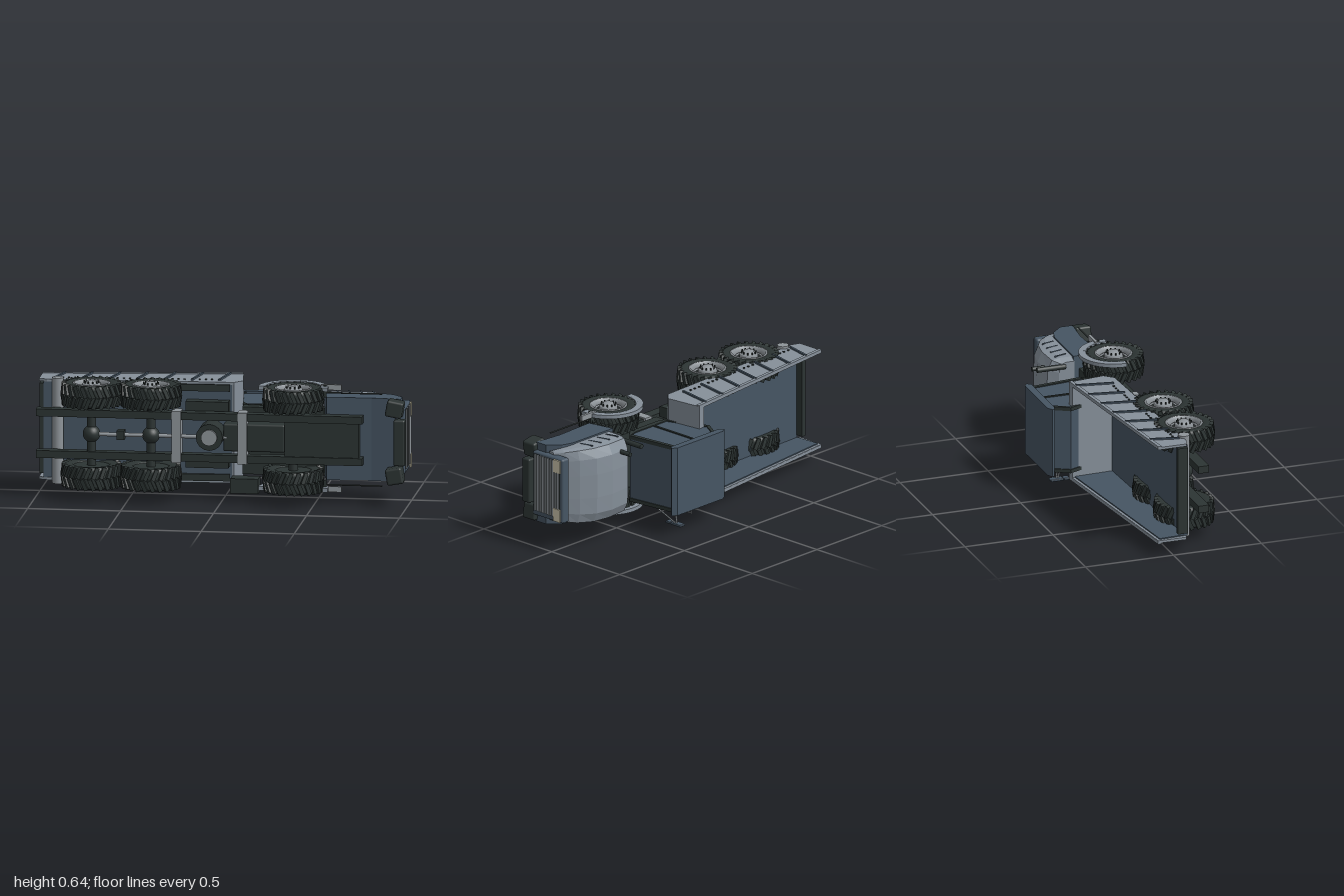
import * as THREE from 'three';
import { mergeGeometries } from 'three/addons/utils/BufferGeometryUtils.js';
import { RoundedBoxGeometry } from 'three/addons/geometries/RoundedBoxGeometry.js';

const mat = (name, color, extra = {}) => {
  const m = new THREE.MeshStandardMaterial({ color, ...extra });
  m.name = name;
  return m;
};

export function createModel() {
  const grey = mat('bodyGrey', 0x86909a, { flatShading: true, side: THREE.DoubleSide });
  const slate = mat('slateBlue', 0x465563);
  const black = mat('blackRubber', 0x2c3433);
  const metal = mat('lightMetal', 0x8f959a);
  const cream = mat('headlightCream', 0xcfc9b0);

  // The truck is built upright (x forward, y up, z sideways), then laid on its side.
  const truck = new THREE.Group();
  truck.name = 'dumpTruck';
  const add = (name, geo, material, parent = truck) => {
    const m = new THREE.Mesh(geo, material);
    m.name = name;
    parent.add(m);
    return m;
  };
  // Box from its limits
  const box = (name, material, x0, x1, y0, y1, z0, z1, round = 0) => {
    const g = round
      ? new RoundedBoxGeometry(x1 - x0, y1 - y0, z1 - z0, 2, round)
      : new THREE.BoxGeometry(x1 - x0, y1 - y0, z1 - z0);
    return add(name, g.translate((x0 + x1) / 2, (y0 + y1) / 2, (z0 + z1) / 2), material);
  };
  // Side outline extruded between two z limits
  const slab = (name, material, pts, z0, z1) => {
    const s = new THREE.Shape(pts.map(p => new THREE.Vector2(...p)));
    return add(name, new THREE.ExtrudeGeometry(s, { depth: z1 - z0, bevelEnabled: false, curveSegments: 12 }).translate(0, 0, z0), material);
  };
  // Round bar between two points
  const bar = (name, material, a, b, r) => {
    const p = new THREE.Vector3(...a), q = new THREE.Vector3(...b), d = q.clone().sub(p);
    const m = add(name, new THREE.CylinderGeometry(r, r, d.length(), 16), material);
    m.position.copy(p).add(q).multiplyScalar(0.5);
    m.quaternion.setFromUnitVectors(new THREE.Vector3(0, 1, 0), d.normalize());
    return m;
  };
  const lathe = pts => new THREE.LatheGeometry(pts.map(p => new THREE.Vector2(...p)), 32).rotateX(Math.PI / 2);

  // Wheels with staggered slanted lugs
  const tyreGeo = lathe([[0.095, -0.05], [0.1, -0.056], [0.135, -0.06], [0.148, -0.054], [0.151, -0.04],
    [0.151, 0.04], [0.148, 0.054], [0.135, 0.06], [0.1, 0.056], [0.095, 0.045]]);
  const lugs = [];
  const lugCount = 24;
  for (let i = 0; i < lugCount; i++) for (const s of [-1, 1]) {
    const g = new THREE.BoxGeometry(0.021, 0.022, 0.064);
    g.rotateX(s * 0.1).rotateY(s * 0.4).translate(0, 0.151, s * 0.03);
    lugs.push(g.rotateZ((i + (s > 0 ? 0.5 : 0)) * 2 * Math.PI / lugCount));
  }
  const lugGeo = mergeGeometries(lugs);
  const rimGeo = lathe([[0.1, 0.045], [0.101, 0.058], [0.09, 0.06], [0.083, 0.04], [0.083, 0.02]]);
  const dishGeo = lathe([[0.095, -0.03], [0.095, 0.015], [0.06, 0.03], [0, 0.03]]);
  const backGeo = new THREE.CylinderGeometry(0.097, 0.097, 0.02, 32).rotateX(Math.PI / 2).translate(0, 0, -0.04);
  const ringGeo = new THREE.TorusGeometry(0.07, 0.006, 6, 32).translate(0, 0, 0.032);
  const hubGeo = lathe([[0.05, 0.025], [0.05, 0.05], [0.044, 0.056], [0.03, 0.056], [0.027, 0.068], [0, 0.068]]);
  const bolts = [];
  for (let i = 0; i < 10; i++) {
    const a = i * Math.PI / 5;
    bolts.push(new THREE.CylinderGeometry(0.004, 0.004, 0.014, 6).rotateX(Math.PI / 2)
      .translate(0.039 * Math.cos(a), 0.039 * Math.sin(a), 0.061));
  }
  const boltGeo = mergeGeometries(bolts);
  const axleX = [-0.70, -0.38, 0.385], axleY = -0.17;
  for (const x of axleX) {
    for (const s of [-1, 1]) {
      const w = new THREE.Group();
      w.name = 'wheel';
      add('tyre', tyreGeo, black, w);
      add('treadLugs', lugGeo, black, w);
      add('rim', rimGeo, metal, w);
      add('rimDish', dishGeo, black, w);
      add('rimBack', backGeo, black, w);
      add('rimRing', ringGeo, metal, w);
      add('hub', hubGeo, metal, w);
      add('hubBolts', boltGeo, black, w);
      w.position.set(x, axleY, s * 0.22);
      if (s < 0) w.rotation.y = Math.PI;
      truck.add(w);
    }
    bar('axle', black, [x, axleY, -0.19], [x, axleY, 0.19], 0.025);
    if (x < 0) add('differential', new THREE.SphereGeometry(0.047, 20, 14), black).position.set(x, axleY, 0);
  }

  // Chassis
  for (const s of [-1, 1]) {
    const z = s * 0.113;
    box('frameRail', black, -0.995, 0.76, -0.205, -0.145, z - 0.02, z + 0.02);
    box('bodySupport', black, -0.2, 0.03, -0.13, -0.065, s * 0.15 - 0.03, s * 0.15 + 0.03);
  }
  box('bellyPlate', black, 0.34, 0.74, -0.195, -0.15, -0.095, 0.095);
  box('gearbox', black, 0.01, 0.34, -0.19, -0.1, -0.075, 0.075, 0.01);
  for (const x of [-0.24, 0.115]) box('crossBeam', metal, x - 0.025, x + 0.025, -0.212, -0.13, -0.14, 0.14);
  bar('driveShaft', metal, [-0.70, -0.18, 0], [0.03, -0.18, 0], 0.011);
  box('shaftCoupling', black, -0.56, -0.52, -0.205, -0.155, -0.025, 0.025);
  bar('jointHousing', black, [-0.06, -0.225, 0.005], [-0.06, -0.09, 0.005], 0.072);
  bar('jointCap', metal, [-0.06, -0.24, 0.005], [-0.06, -0.2, 0.005], 0.043);
  box('frontDeck', black, 0.1, 0.54, -0.09, -0.03, -0.215, 0.15);
  box('stepBox', black, 0.05, 0.2, -0.2, -0.11, -0.3, -0.22);

  // Dump body: floor, walls, ribs and rails
  slab('dumpFloor', slate, [[-0.97, -0.09], [0.045, -0.05], [0.045, -0.035], [-0.97, -0.072]], -0.26, 0.26);
  slab('dumpFrontWall', grey, [[0.03, 0.195], [0.07, 0.2], [0.095, -0.005], [0.05, -0.052], [0.04, -0.05]], -0.26, 0.26);
  for (const s of [-1, 1]) {
    const span = (a, b) => s > 0 ? [a, b] : [-b, -a];
    slab('dumpSideWall', grey, [[-0.995, 0.083], [0.07, 0.2], [0.095, -0.005], [0.05, -0.052], [-0.95, -0.092], [-0.995, -0.075]], ...span(0.26, 0.274));
    slab('dumpInnerLining', slate, [[-0.98, 0.07], [0.03, 0.18], [0.04, -0.045], [-0.97, -0.085]], ...span(0.254, 0.2599));
    slab('dumpTopRail', grey, [[-0.995, 0.065], [0.07, 0.18], [0.07, 0.2], [-0.995, 0.085]], ...span(0.262, 0.28));
    slab('dumpUnderBeam', black, [[-0.8, -0.105], [0.03, -0.065], [0.03, -0.045], [-0.8, -0.08]], ...span(0.225, 0.262));
    for (let i = 0; i < 7; i++) {
      const x = -0.915 + i * 0.146, top = 0.2 + (x + 0.035 - 0.07) * 0.11, low = -0.065 + i * 0.008;
      slab('dumpRib', slate, [[x, low], [x + 0.012, low], [x + 0.047, top - 0.008], [x + 0.035, top - 0.008]], ...span(0.272, 0.283));
      for (let k = 0; k < 3; k++) {
        const p = x + 0.04 + k * 0.033;
        if (p < 0) box('wallStud', black, p, p + 0.009, low + 0.018, low + 0.027, ...span(0.272, 0.28));
      }
    }
  }
  box('rearBar', black, -0.992, -0.965, -0.085, -0.03, -0.24, 0.25);
  bar('tipPivotTube', metal, [-0.89, -0.1, -0.287], [-0.89, -0.1, 0.287], 0.031);

  // Cab, set off centre
  const cz0 = -0.222, cz1 = 0.153;
  slab('cabShell', slate, [[0.06, 0.3], [0.01, 0.21], [0.105, -0.02], [0.14, -0.03], [0.36, -0.03], [0.405, 0.01], [0.367, 0.3]], cz0 + 0.006, cz1 - 0.006);
  slab('cabRoof', slate, [[0.005, 0.305], [0.0, 0.318], [0.03, 0.335], [0.38, 0.335], [0.405, 0.316], [0.39, 0.295], [0.03, 0.295]], -0.227, 0.158);
  for (const [a, b] of [[cz0, cz0 + 0.02], [cz1 - 0.02, cz1]]) {
    slab('rearPillar', black, [[0.055, 0.3], [0.003, 0.212], [0.02, 0.205], [0.075, 0.3]], a, b);
    slab('rearLowerPillar', black, [[0.003, 0.212], [0.1, -0.025], [0.118, -0.025], [0.022, 0.212]], a, b);
    slab('frontPillar', black, [[0.352, 0.3], [0.387, 0.01], [0.41, 0.01], [0.373, 0.3]], a, b);
    slab('doorPillar', black, [[0.2, 0.3], [0.2, -0.02], [0.212, -0.02], [0.212, 0.3]], a, b);
    slab('cabSill', black, [[0.1, -0.02], [0.14, -0.035], [0.365, -0.035], [0.41, 0.012], [0.35, -0.005], [0.11, -0.005]], a, b);
  }

  // Mirrors and handrail
  bar('mirrorArm', metal, [0.25, 0.19, -0.222], [0.25, 0.205, -0.34], 0.005);
  bar('mirrorBrace', metal, [0.35, 0.12, -0.222], [0.25, 0.195, -0.34], 0.004);
  box('mirrorLarge', slate, 0.225, 0.265, 0.172, 0.243, -0.351, -0.338, 0.004);
  box('mirrorSmall', slate, 0.225, 0.265, 0.136, 0.168, -0.351, -0.338, 0.004);
  bar('handrail', metal, [0.2, -0.12, -0.28], [0.2, 0.268, -0.28], 0.004);
  bar('handrailTop', metal, [0.2, 0.265, -0.28], [0.2, 0.265, -0.222], 0.004);

  // Hood, lofted from faceted cross-sections: x, top, bottom, half width
  const stations = [[0.525, 0.09, 0, 0.2], [0.56, 0.143, 0, 0.215], [0.69, 0.154, 0, 0.217], [0.79, 0.135, 0, 0.217],
    [0.87, 0.085, -0.005, 0.213], [0.92, 0.035, -0.03, 0.205], [0.955, -0.02, -0.06, 0.195]];
  const verts = [], idx = [];
  for (const [x, top, low, w] of stations) {
    const h = top - low;
    const half = [[w, low], [w, low + h * 0.5], [w * 0.96, top - h * 0.2], [w * 0.72, top - h * 0.03], [w * 0.3, top]];
    for (const [z, y] of [...half, ...half.slice().reverse().map(([z, y]) => [-z, y])]) verts.push(x, y, z);
  }
  const n = 10;
  for (let i = 0; i < stations.length - 1; i++) for (let j = 0; j < n; j++) {
    const a = i * n + j, b = i * n + (j + 1) % n;
    idx.push(a, a + n, b, b, a + n, b + n);
  }
  const last = (stations.length - 1) * n;
  for (let j = 1; j < n - 1; j++) idx.push(0, j, j + 1, last, last + j + 1, last + j);
  const hood = new THREE.BufferGeometry();
  hood.setAttribute('position', new THREE.Float32BufferAttribute(verts, 3));
  hood.setIndex(idx);
  hood.computeVertexNormals();
  add('hood', hood, grey);
  slab('lowerHood', slate, [[0.53, 0.002], [0.84, 0.0], [0.9, -0.02], [0.96, -0.08], [0.96, -0.15], [0.8, -0.135], [0.56, -0.145]], -0.225, 0.225);
  for (const s of [-1, 1]) for (let i = 0; i < 4; i++) {
    const x = 0.6 + i * 0.065;
    slab('hoodVent', slate, [[x, 0.02], [x + 0.007, 0.02], [x - 0.012, 0.09], [x - 0.02, 0.09]], s > 0 ? 0.211 : -0.219, s > 0 ? 0.219 : -0.211);
  }

  // Grille, headlights and bumper
  box('grilleFrame', slate, 0.93, 0.985, -0.157, 0.065, -0.182, 0.182, 0.012);
  box('grillePanel', black, 0.98, 0.988, -0.142, 0.048, -0.152, 0.168);
  for (let i = 0; i < 10; i++) {
    const y = -0.13 + i * 0.0185;
    box('grilleBar', metal, 0.985, 0.992, y - 0.0045, y + 0.0045, -0.152, 0.168);
  }
  for (const s of [-1, 1]) {
    box('headlight', cream, 0.986, 0.995, 0.005, 0.052, s * 0.139 - 0.036, s * 0.139 + 0.036);
    const end = box('bumperEnd', black, -0.045, 0.045, -0.235, -0.145, -0.044, 0.044, 0.012);
    end.position.set(0.935, 0, s * 0.182);
    end.rotation.y = s * 0.18;
    bar('sideRail', black, [0.54, -0.145, s * 0.25], [0.86, -0.145, s * 0.25], 0.004);
    box('sideStep', metal, 0.53, 0.64, -0.135, -0.12, s * 0.277 - 0.015, s * 0.277 + 0.015);
    box('stepBracket', black, 0.545, 0.56, -0.15, -0.135, s * 0.257 - 0.033, s * 0.257 + 0.033);

    // Front wheel arch
    const arch = new THREE.Shape();
    arch.absarc(0, 0, 0.187, -0.1, Math.PI + 0.05, false);
    arch.absarc(0, 0, 0.148, Math.PI + 0.05, -0.1, true);
    add('frontFender', new THREE.ExtrudeGeometry(arch, { depth: 0.021, bevelEnabled: false, curveSegments: 10 })
      .translate(0.385, axleY, s > 0 ? 0.263 : -0.284), grey);
  }
  box('bumperBar', black, 0.93, 0.992, -0.23, -0.175, -0.125, 0.125, 0.01);

  // Exhaust stacks
  bar('exhaustStack', black, [0.528, 0.05, 0.175], [0.528, 0.212, 0.175], 0.014);
  bar('exhaustStack', black, [0.612, 0.1, 0.15], [0.612, 0.21, 0.15], 0.012);

  truck.rotation.x = -Math.PI / 2;
  truck.position.y = 0.351;
  const model = new THREE.Group();
  model.name = 'model';
  model.add(truck);
  return model;
}
